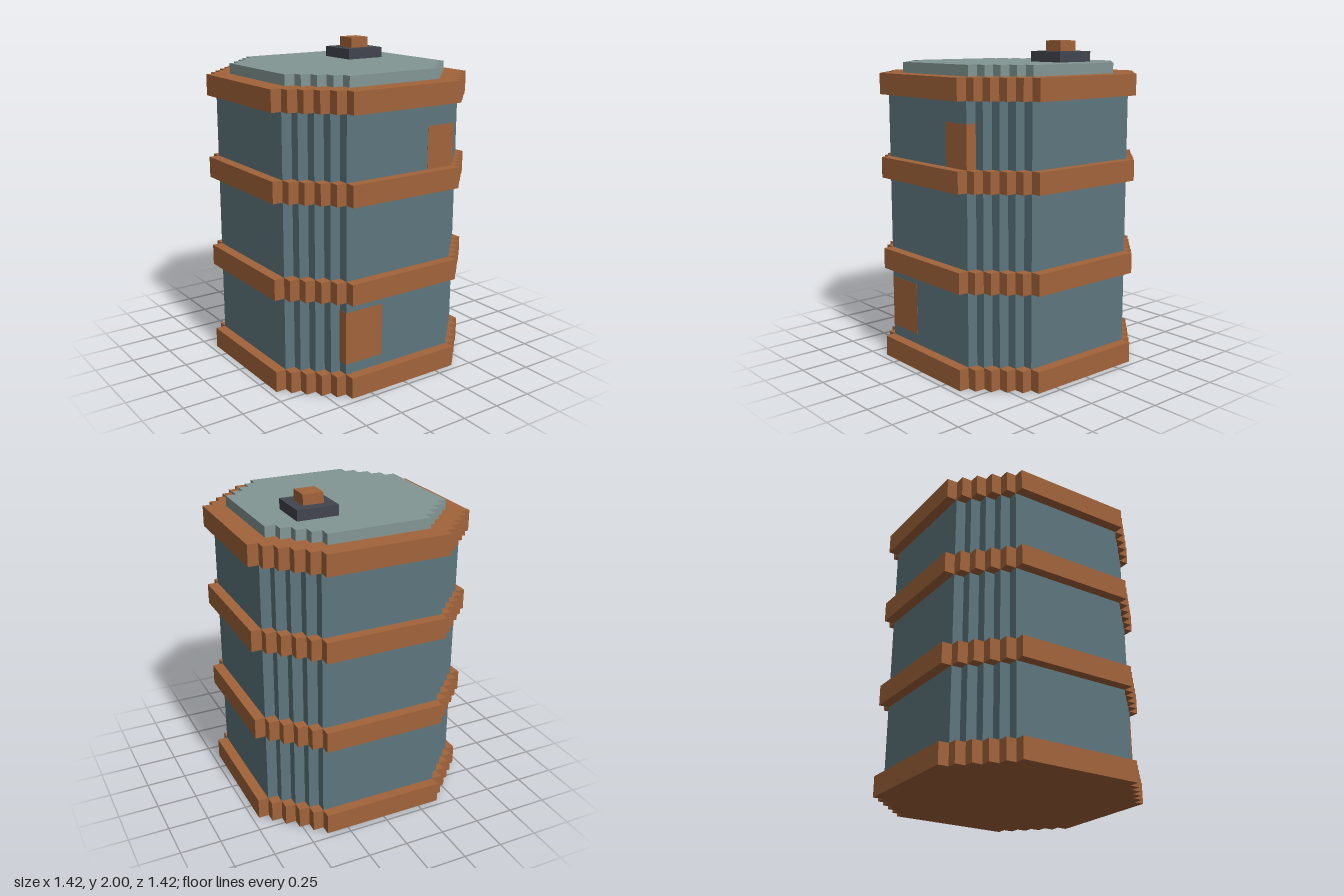
import * as THREE from 'three';

const U = 2 / 31; // one block

const rust = new THREE.MeshStandardMaterial({ color: 0xa2643a });
const steel = new THREE.MeshStandardMaterial({ color: 0x5e767e });
const pale = new THREE.MeshStandardMaterial({ color: 0x829694 });
const dark = new THREE.MeshStandardMaterial({ color: 0x42454f });

// Stepped round outline: half-width n, flat side half-length a, in blocks
function steppedDisc(n, a) {
  const quarter = [];
  for (let i = 0; i <= n - a; i++) {
    if (i > 0) quarter.push([n - i, a + i - 1]);
    quarter.push([n - i, a + i]);
  }
  const points = [];
  for (let q = 0; q < 4; q++) {
    for (const [px, py] of quarter) {
      let x = px, y = py;
      for (let k = 0; k < q; k++) [x, y] = [-y, x];
      points.push(new THREE.Vector2(x * U, y * U));
    }
  }
  return new THREE.Shape(points);
}

function addLayer(group, name, n, a, y0, y1, material) {
  const geometry = new THREE.ExtrudeGeometry(steppedDisc(n, a), {
    depth: (y1 - y0) * U, bevelEnabled: false,
  });
  geometry.rotateX(-Math.PI / 2);
  const mesh = new THREE.Mesh(geometry, material);
  mesh.name = name;
  mesh.position.y = y0 * U;
  group.add(mesh);
}

// Box between two block corners; grow lifts flush faces clear of the wall
function addBox(group, name, min, max, material, grow = 0) {
  const size = max.map((v, i) => (v - min[i]) * U + 2 * grow);
  const mesh = new THREE.Mesh(new THREE.BoxGeometry(...size), material);
  mesh.name = name;
  mesh.position.set(...max.map((v, i) => ((v + min[i]) / 2) * U));
  group.add(mesh);
}

export function createModel() {
  const barrel = new THREE.Group();
  barrel.name = 'barrel';

  // Wall, hoops and lid
  addLayer(barrel, 'body', 10, 6, 2, 26, steel);
  const hoops = ['bottomHoop', 'lowerHoop', 'upperHoop', 'topHoop'];
  [0, 9, 18, 26].forEach((y, i) => addLayer(barrel, hoops[i], 11, 6, y, y + 2, rust));
  addLayer(barrel, 'lid', 9, 5, 28, 29, pale);

  // Filler cap
  addBox(barrel, 'capBase', [2, 29, -5], [6, 30, -1], dark);
  addBox(barrel, 'capKnob', [3, 30, -4], [5, 31, -2], rust);

  // Rust patches, flush with the front wall
  addBox(barrel, 'lowerRustPatch', [-6, 3, 9], [-2, 8, 10], rust, 0.001);
  addBox(barrel, 'upperRustPatch', [3, 20, 9], [6, 24, 10], rust, 0.001);

  return barrel;
}
